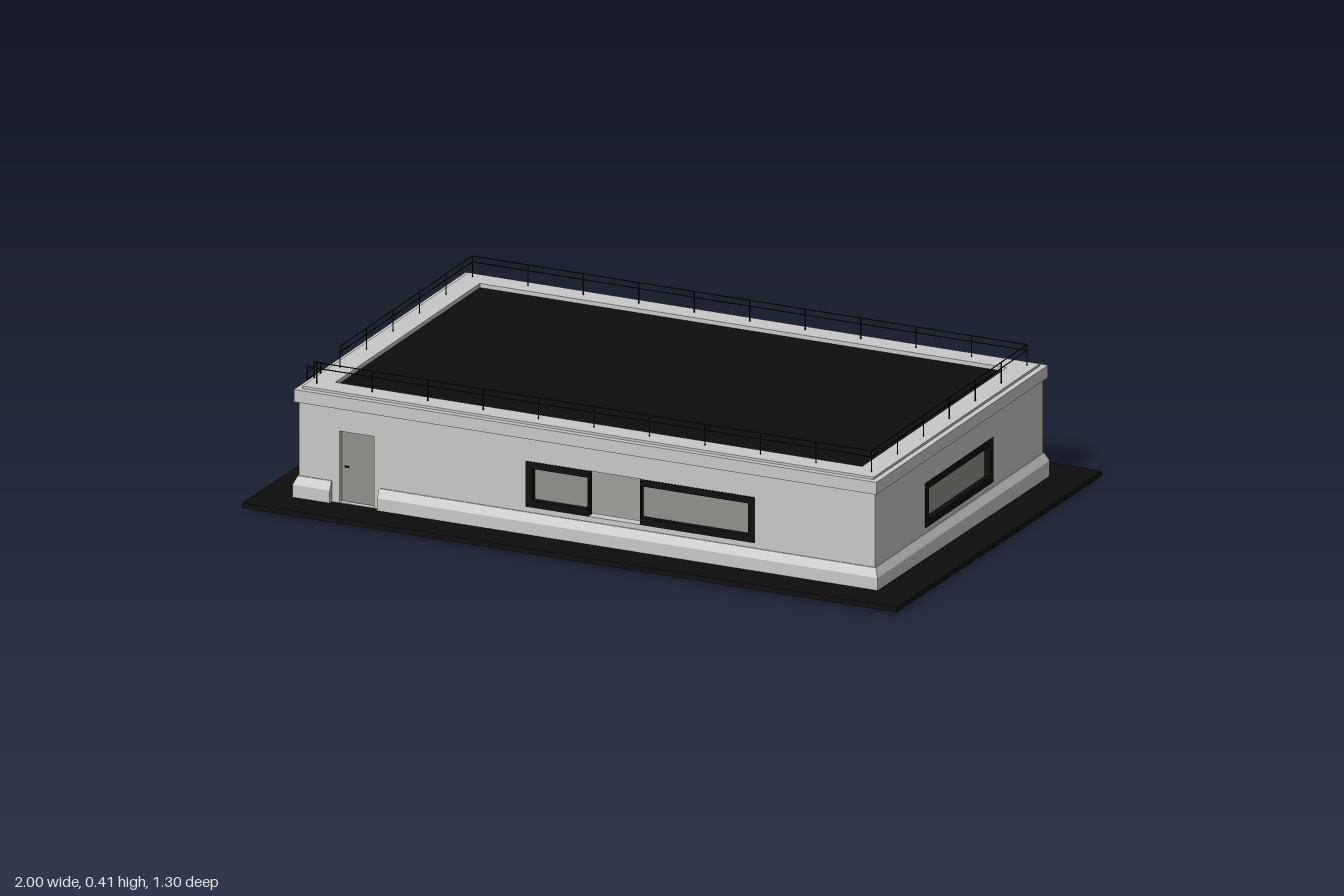
import * as THREE from 'three';

const mat = (name, color, side = THREE.FrontSide) => {
  const m = new THREE.MeshStandardMaterial({ color, side });
  m.name = name;
  return m;
};

export function createModel() {
  const concrete = mat('pale concrete', 0xc8c8c8);
  const grey = mat('warm grey', 0x90908a);
  const black = mat('black', 0x0d0d0d);
  const model = new THREE.Group();
  model.name = 'flatRoofBuilding';
  const X = 0.88, Z = 0.53; // half sizes of the wall faces
  const house = new THREE.Group();
  house.name = 'building';
  house.position.x = -0.003;
  model.add(house);

  const add = (parent, name, geo, material) => {
    const m = new THREE.Mesh(geo, material);
    m.name = name;
    parent.add(m);
    return m;
  };
  const box = (parent, name, material, x0, x1, y0, y1, z0, z1) =>
    add(parent, name, new THREE.BoxGeometry(x1 - x0, y1 - y0, z1 - z0)
      .translate((x0 + x1) / 2, (y0 + y1) / 2, (z0 + z1) / 2), material);
  const rect = (P, x0, x1, y0, y1) => {
    const p = new P();
    p.moveTo(x0, y0); p.lineTo(x1, y0); p.lineTo(x1, y1); p.lineTo(x0, y1); p.closePath();
    return p;
  };
  // Flat plate in x/y with rectangular holes, from z0 to z1
  const plate = (parent, name, material, r, holes, z0, z1) => {
    const s = rect(THREE.Shape, ...r);
    holes.forEach(h => s.holes.push(rect(THREE.Path, ...h)));
    const g = new THREE.ExtrudeGeometry(s, { depth: z1 - z0, bevelEnabled: false });
    return add(parent, name, g.translate(0, 0, z0), material);
  };
  // Horizontal rectangular ring
  const ring = (name, material, ox, oz, ix, iz, y0, y1) => {
    const m = plate(house, name, material, [-ox, ox, -oz, oz], [[-ix, ix, -iz, iz]], y0, y1);
    m.geometry.rotateX(-Math.PI / 2);
  };

  // Ground slab, tilted slightly, and the floor
  const ground = add(model, 'groundSlab', new THREE.BoxGeometry(2, 0.015, 1.3), black);
  ground.position.y = 0.0165;
  ground.rotation.x = -0.009;
  box(model, 'floor', grey, -0.8, 0.8, 0, 0.035, -0.487, 0.487);

  // One side of the building, facing local +z
  const side = (name, half, dist, angle, holes) => {
    const g = new THREE.Group();
    g.name = name;
    g.rotation.y = angle;
    house.add(g);
    plate(g, 'wall', concrete, [-half, half, 0.02, 0.31], holes, dist - 0.03, dist);
    return g;
  };
  // Sloped plinth strip; ends at a building corner are mitred
  const plinth = (g, half, dist, a, b) => {
    const s = new THREE.Shape();
    s.moveTo(0, 0.02); s.lineTo(0.014, 0.02); s.lineTo(0.014, 0.065); s.lineTo(0.003, 0.09); s.lineTo(0, 0.09);
    s.closePath();
    const geo = new THREE.ExtrudeGeometry(s, { depth: b - a, bevelEnabled: false });
    const p = geo.attributes.position;
    for (let i = 0; i < p.count; i++) {
      const out = p.getX(i), t = p.getZ(i);
      if (t < 1e-5 && a === -half) p.setZ(i, t - out);
      if (t > 1e-5 && b === half) p.setZ(i, t + out);
    }
    // profile out -> +z, length -> x
    geo.rotateY(-Math.PI / 2).scale(-1, 1, 1);
    const idx = [];
    for (let i = 0; i < p.count; i += 3) idx.push(i, i + 2, i + 1);
    geo.setIndex(idx);
    geo.clearGroups();
    const flat = geo.toNonIndexed();
    flat.computeVertexNormals();
    add(g, 'plinth', flat.translate(a, 0, dist), concrete);
  };
  // Framed window set into its opening
  const window_ = (g, dist, x0, x1, y0, y1, openLeft = false, openRight = false) => {
    const f = 0.02;
    const hole = [x0 + (openLeft ? 0.001 : f), x1 - (openRight ? 0.001 : f), y0 + f, y1 - f];
    plate(g, 'windowFrame', black, [x0, x1, y0, y1], [hole], dist - 0.025, dist + 0.002);
    box(g, 'windowGlass', grey, x0 + 0.001, x1 - 0.001, y0 + 0.005, y1 - 0.005, dist - 0.022, dist - 0.016);
  };

  // Front: door, and two windows beside an open gap
  const front = side('frontSide', X, Z, 0, [[-0.757, -0.652, 0.03, 0.238], [-0.187, 0.513, 0.105, 0.238]]);
  plinth(front, X, Z, -X, -0.78);
  plinth(front, X, Z, -0.635, X);
  box(front, 'frontDoor', grey, -0.757, -0.652, 0.03, 0.238, Z - 0.024, Z - 0.016);
  box(front, 'doorHandle', black, -0.747, -0.735, 0.13, 0.134, Z - 0.016, Z - 0.011);
  window_(front, Z, -0.187, 0.003, 0.105, 0.238, false, true);
  window_(front, Z, 0.163, 0.513, 0.105, 0.238, true, false);

  // Right end with one window
  const right = side('windowEnd', Z, X, Math.PI / 2, [[-0.215, 0.215, 0.105, 0.235]]);
  plinth(right, Z, X, -Z, Z);
  window_(right, X, -0.215, 0.215, 0.105, 0.235);

  // Plain end
  plinth(side('ladderEnd', Z, X, -Math.PI / 2, []), Z, X, -Z, Z);

  // Back: grey facing with an open doorway
  const doorway = [-0.163, -0.003, 0.036, 0.24];
  const back = side('backSide', X, Z, Math.PI, [doorway]);
  plinth(back, X, Z, -X, doorway[0]);
  plinth(back, X, Z, doorway[1], X);
  const facing = [[-0.76, doorway[0], 0.09, 0.305], [doorway[1], 0.865, 0.09, 0.305], [doorway[0], doorway[1], 0.24, 0.305]];
  facing.forEach(r => box(back, 'greyFacing', grey, ...r, Z, Z + 0.003));

  // Cornice, parapet, roof and ceiling
  ring('cornice', concrete, X + 0.01, Z + 0.013, 0.805, 0.457, 0.307, 0.343);
  ring('parapet', concrete, X - 0.007, Z - 0.005, 0.805, 0.457, 0.343, 0.35);
  box(house, 'roof', black, -0.806, 0.806, 0.325, 0.338, -0.458, 0.458);
  box(house, 'ceiling', grey, -0.85, 0.85, 0.3, 0.306, -0.5, 0.5);

  // Thin bar between two points
  const bar = (parent, name, a, b, r = 0.0017) => {
    const A = new THREE.Vector3(...a), B = new THREE.Vector3(...b);
    const m = add(parent, name, new THREE.CylinderGeometry(r, r, A.distanceTo(B), 5), black);
    m.position.copy(A).add(B).multiplyScalar(0.5);
    m.quaternion.setFromUnitVectors(new THREE.Vector3(0, 1, 0), B.sub(A).normalize());
  };

  // Roof railing, open beside the ladder
  const railing = new THREE.Group();
  railing.name = 'roofRailing';
  model.add(railing);
  const runs = [
    [-0.85, 0.487, 0.845, 0.487, 10], [0.845, 0.487, 0.845, -0.497, 6],
    [0.845, -0.497, -0.85, -0.497, 10], [-0.85, -0.497, -0.85, 0.34, 5],
  ];
  for (const [x0, z0, x1, z1, n] of runs) {
    for (const y of [0.394, 0.411]) bar(railing, 'rail', [x0, y, z0], [x1, y, z1]);
    for (let i = 0; i <= n; i++) {
      const x = x0 + (x1 - x0) * i / n, z = z0 + (z1 - z0) * i / n;
      bar(railing, 'post', [x, 0.348, z], [x, 0.411, z]);
    }
  }

  // Ladder with hooked stringers
  const ladder = new THREE.Group();
  ladder.name = 'ladder';
  model.add(ladder);
  for (const z of [0.392, 0.434]) {
    bar(ladder, 'stringer', [-0.904, 0.025, z], [-0.904, 0.376, z], 0.0022);
    bar(ladder, 'hook', [-0.904, 0.375, z], [-0.884, 0.375, z], 0.0022);
    bar(ladder, 'hookEnd', [-0.884, 0.376, z], [-0.884, 0.342, z], 0.0022);
  }
  for (let y = 0.05; y < 0.36; y += 0.022) bar(ladder, 'rung', [-0.904, y, 0.392], [-0.904, y, 0.434]);

  return model;
}
